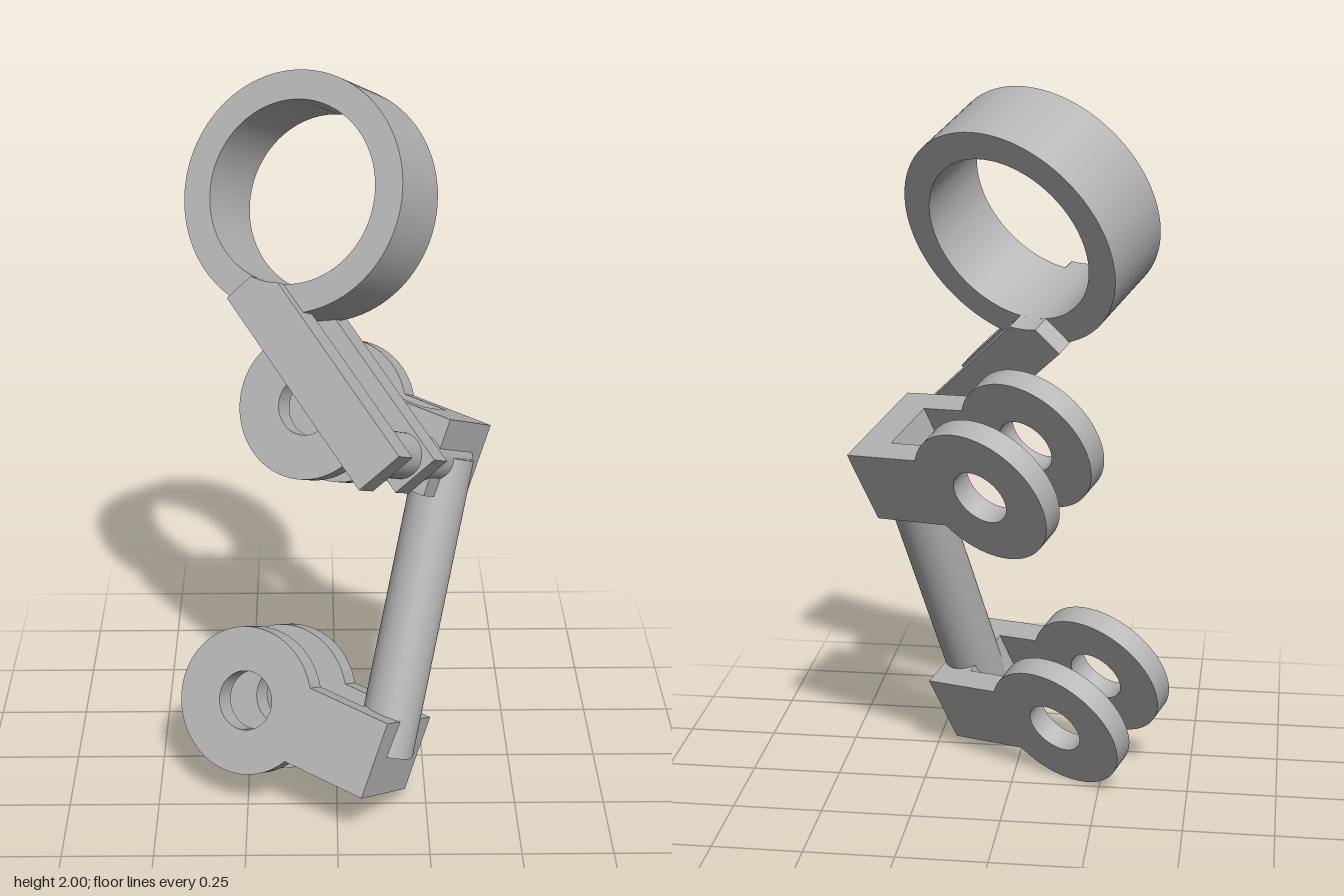
import * as THREE from 'three';
import { toCreasedNormals } from 'three/addons/utils/BufferGeometryUtils.js';

const steel = new THREE.MeshStandardMaterial({ color: 0xb4b4b4 });
steel.name = 'steelGrey';

function add(parent, name, geometry) {
  const mesh = new THREE.Mesh(geometry, steel);
  mesh.name = name;
  parent.add(mesh);
  return mesh;
}

// Extrude a flat shape, centred on z, with smooth curves and sharp edges
function slab(shape, depth) {
  const geo = new THREE.ExtrudeGeometry(shape, { depth, bevelEnabled: false, curveSegments: 48 });
  geo.translate(0, 0, -depth / 2);
  return toCreasedNormals(geo, 0.5);
}

// Solid round bar between two points
function bar(parent, name, radius, from, to) {
  const dir = to.clone().sub(from);
  const mesh = add(parent, name, new THREE.CylinderGeometry(radius, radius, dir.length(), 48));
  mesh.position.copy(from).addScaledVector(dir, 0.5);
  mesh.quaternion.setFromUnitVectors(new THREE.Vector3(0, 1, 0), dir.normalize());
}

// Fork with two eyelet plates joined by an end block; origin at the end face
function clevis(name) {
  const reach = 0.424, half = 0.109, eye = 0.205, width = 0.286, plate = 0.065, block = 0.113;
  const group = new THREE.Group();
  group.name = name;
  const angle = Math.asin(half / eye);
  const shape = new THREE.Shape();
  shape.moveTo(reach, -half);
  shape.lineTo(reach, half);
  shape.absarc(0, 0, eye, angle, Math.PI * 2 - angle, false);
  shape.closePath();
  const hole = new THREE.Path();
  hole.absarc(0, 0, 0.082, 0, Math.PI * 2, true);
  shape.holes.push(hole);
  const geo = slab(shape, plate);
  for (const side of [-1, 1]) {
    add(group, 'eyeletPlate', geo).position.set(-reach, 0, side * (width - plate) / 2);
  }
  add(group, 'endBlock', new THREE.BoxGeometry(block, half * 2, width - plate * 2)).position.x = -block / 2;
  return group;
}

export function createModel() {
  const model = new THREE.Group();
  model.name = 'linkage';

  // Tilted frame: z along the hole axes, y along the clevis height
  const frame = new THREE.Group();
  frame.name = 'tiltedAssembly';
  const z = new THREE.Vector3(-0.447, 0.412, 0.794).normalize();
  const y = new THREE.Vector3(0.316, 0.912, -0.266);
  y.addScaledVector(z, -y.dot(z)).normalize();
  const x = new THREE.Vector3().crossVectors(y, z);
  frame.quaternion.setFromRotationMatrix(new THREE.Matrix4().makeBasis(x, y, z));
  frame.position.set(0.163, 0.197, 0.31);
  model.add(frame);

  // Two forks joined by the leaning rod
  const offset = new THREE.Vector3(-0.116, 0.829, 0.01);
  const upper = clevis('upperClevis');
  upper.position.copy(offset);
  frame.add(clevis('lowerClevis'), upper);
  const rodFoot = new THREE.Vector3(-0.04, 0, 0);
  bar(frame, 'connectingRod', 0.08, rodFoot, rodFoot.clone().add(offset));

  // Ring with its pair of offset arms
  const head = new THREE.Group();
  head.name = 'ringHead';
  head.position.set(-0.62, 1.374, 0.363);
  head.rotation.z = Math.atan2(-0.53, 0.849);
  frame.add(head);

  const outer = 0.321, inner = 0.243, depth = 0.225;
  const ring = new THREE.Shape();
  ring.absarc(0, 0, outer, 0, Math.PI * 2, false);
  const bore = new THREE.Path();
  bore.absarc(0, 0, inner, 0, Math.PI * 2, true);
  ring.holes.push(bore);
  add(head, 'ring', slab(ring, depth));

  // Arm outline, trimmed to the bore of the ring
  const near = 0.115, far = 0.755, low = -0.303, high = -0.163;
  const arm = new THREE.Shape();
  arm.moveTo(near, low);
  arm.lineTo(far, low);
  arm.lineTo(far, high);
  arm.absarc(0, 0, inner, Math.asin(high / inner), -Math.acos(near / inner), true);
  arm.closePath();
  const armGeo = slab(arm, 0.084);
  add(head, 'frontArm', armGeo).position.z = 0.102;
  add(head, 'backArm', armGeo).position.z = -0.122;

  // Hinge pin through the arms into the upper fork
  bar(head, 'hingePin', 0.062, new THREE.Vector3(0.685, -0.233, 0.1), new THREE.Vector3(0.685, -0.233, -0.43));

  return model;
}
